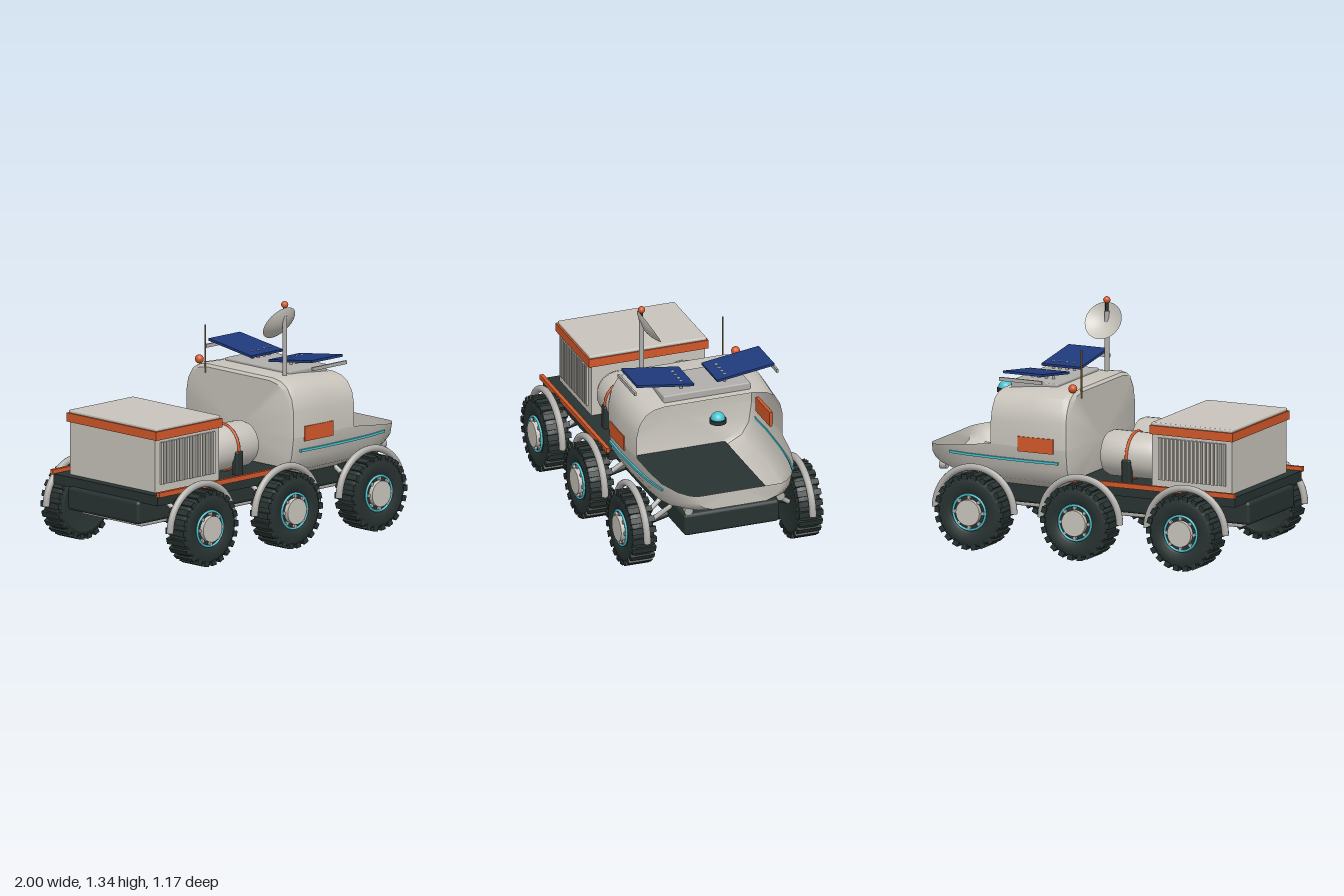
import * as THREE from 'three';
import { toCreasedNormals } from 'three/addons/utils/BufferGeometryUtils.js';
import { RoundedBoxGeometry } from 'three/addons/geometries/RoundedBoxGeometry.js';

const mat = (name, color, side = THREE.FrontSide) => {
  const m = new THREE.MeshStandardMaterial({ color, side });
  m.name = name;
  return m;
};

// Skin a list of equally long cross-sections
function loft(sections) {
  const n = sections[0].length, index = [];
  for (let i = 0; i < sections.length - 1; i++) {
    for (let j = 0; j < n - 1; j++) {
      const a = i * n + j, b = a + n;
      index.push(a, a + 1, b, b, a + 1, b + 1);
    }
  }
  const g = new THREE.BufferGeometry().setFromPoints(sections.flat());
  g.setIndex(index);
  return toCreasedNormals(g, 0.6);
}

export function createModel() {
  const root = new THREE.Group();
  const shell = mat('shellGrey', 0xc8c4bc, THREE.DoubleSide);
  const metal = mat('metalGrey', 0xb0aeaa);
  const dark = mat('darkRubber', 0x283331);
  const orange = mat('orange', 0xd2582a);
  const cyan = mat('cyan', 0x48c2d0);
  const blue = mat('solarBlue', 0x1f3a7c);
  const gold = mat('antennaGold', 0x9a7a3c);

  const add = (name, geo, material, x = 0, y = 0, z = 0, parent = root) => {
    const m = new THREE.Mesh(geo, material);
    m.name = name;
    m.position.set(x, y, z);
    parent.add(m);
    return m;
  };
  // Box given by its limits
  const box = (name, material, x0, x1, y0, y1, z0, z1, r = 0) => {
    const s = [x1 - x0, y1 - y0, z1 - z0];
    const g = r ? new RoundedBoxGeometry(...s, 2, r) : new THREE.BoxGeometry(...s);
    return add(name, g, material, (x0 + x1) / 2, (y0 + y1) / 2, (z0 + z1) / 2);
  };
  // Round bar between two points
  const bar = (name, material, a, b, r) => {
    const p = new THREE.Vector3(...a), q = new THREE.Vector3(...b), d = q.clone().sub(p);
    const m = add(name, new THREE.CylinderGeometry(r, r, d.length(), 12), material);
    m.position.copy(p).add(q).multiplyScalar(0.5);
    m.quaternion.setFromUnitVectors(new THREE.Vector3(0, 1, 0), d.normalize());
    return m;
  };

  // Chassis, belly plate and deck
  box('chassis', dark, -1, 0.89, 0.235, 0.368, -0.285, 0.285, 0.02);
  box('bellyPlate', metal, -0.93, 0.82, 0.208, 0.236, -0.24, 0.24, 0.01);
  box('deck', dark, -0.975, 0.05, 0.36, 0.417, -0.415, 0.415);

  // Cabin shell: x, half width, bottom, rim height, roof height
  const stations = [
    [0.06, 0, 0.59, 0.59, 0.59], [0.06, 0.405, 0.37, 0.59, 0.895], [0.075, 0.428, 0.35, 0.59, 0.91],
    [0.11, 0.441, 0.34, 0.59, 0.915], [0.3, 0.445, 0.34, 0.59, 0.905], [0.54, 0.435, 0.34, 0.59, 0.88],
    [0.7, 0.42, 0.35, 0.57], [0.82, 0.395, 0.372, 0.55], [0.93, 0.34, 0.405, 0.535],
    [0.98, 0.29, 0.425, 0.528], [1, 0.25, 0.432, 0.525], [1, 0, 0.525, 0.525],
  ];
  const lower = [[1, 1], [0.96, 0.5], [0.86, 0.2], [0.64, 0]];
  const upper = [[1, 0], [1, 0.45], [0.965, 0.68], [0.88, 0.87], [0.77, 0.96], [0.62, 1]];
  const section = (half, x, w, y0, y1) =>
    [...half, ...half.map(([u, v]) => [-u, v]).reverse()]
      .map(([u, v]) => new THREE.Vector3(x, y0 + (y1 - y0) * v, w * u));
  add('lowerHull', loft(stations.map(([x, w, b, rim]) => section(lower, x, w, b, rim))), shell);
  add('cabinRoofAndWalls',
    loft(stations.slice(0, 6).map(([x, w, , rim, top]) => section(upper, x, w, rim, top))), shell);

  // Hull half width near the stripe height
  const hullWidth = (x) => {
    let i = 1;
    while (i < stations.length - 2 && stations[i + 1][0] < x) i++;
    const [a, b] = [stations[i], stations[i + 1]];
    return THREE.MathUtils.lerp(a[1], b[1], (x - a[0]) / (b[0] - a[0]));
  };

  for (const s of [1, -1]) {
    // Deck rail, door panel and stripe
    box('deckRail', orange, -0.98, 0.06, 0.412, 0.44, s * 0.424 - 0.011, s * 0.424 + 0.011);
    box('sidePanel', orange, 0.145, 0.365, 0.565, 0.65, s * 0.437 - 0.012, s * 0.437 + 0.012);
    const stripe = new THREE.BoxGeometry(0.7, 0.014, 0.016, 14, 1, 1);
    const p = stripe.attributes.position;
    for (let i = 0; i < p.count; i++) {
      p.setZ(i, p.getZ(i) + s * (hullWidth(p.getX(i) + 0.47) - 0.006));
    }
    stripe.computeVertexNormals();
    add('sideStripe', stripe, cyan, 0.47, 0.512, 0);

    // Headlight
    const lamp = add('headlight', new THREE.CylinderGeometry(0.026, 0.022, 0.04, 16), metal, 0.91, 0.408, s * 0.275);
    lamp.rotation.z = -Math.PI / 2;

    // Solar panel on posts
    const panel = add('solarPanel', new THREE.BoxGeometry(0.245, 0.014, 0.345), blue, 0.353, 0.977, s * 0.24);
    panel.rotation.x = -s * 0.135;
    for (const x of [0.3, 0.345, 0.39, 0.43]) {
      bar('panelPost', metal, [x, 0.9, s * 0.13], [x, 0.971, s * 0.13], 0.009);
    }
    box('panelEdgeBar', metal, 0.225, 0.49, 0.952, 0.972, s * 0.425 - 0.006, s * 0.425 + 0.006);

    // Storage tank with strap and bracket
    const profile = [[0, -0.175], [0.09, -0.175], [0.118, -0.163], [0.13, -0.135],
      [0.13, 0.135], [0.118, 0.163], [0.09, 0.175], [0, 0.175]].map((q) => new THREE.Vector2(...q));
    const tank = add('tank', toCreasedNormals(new THREE.LatheGeometry(profile, 32), 0.7), shell, -0.245, 0.556, s * 0.193);
    tank.rotation.z = -Math.PI / 2;
    const strap = add('tankStrap', new THREE.TorusGeometry(0.131, 0.009, 8, 36), orange, -0.25, 0.556, s * 0.193);
    strap.rotation.y = Math.PI / 2;
    box('tankBracket', dark, -0.278, -0.225, 0.41, 0.55, s * 0.315 - 0.022, s * 0.315 + 0.022, 0.01);
    box('tankCradle', dark, -0.27, -0.23, 0.41, 0.5, s * 0.06 - 0.02, s * 0.06 + 0.02);
  }

  // Cargo box with ribbed sides
  box('cargoBox', shell, -0.92, -0.42, 0.417, 0.73, -0.34, 0.34);
  box('cargoBand', orange, -0.93, -0.412, 0.718, 0.768, -0.358, 0.358);
  box('cargoLid', shell, -0.922, -0.418, 0.765, 0.785, -0.35, 0.35, 0.008);
  for (let i = 0; i < 17; i++) {
    const x = -0.875 + i * 0.0253;
    for (const s of [1, -1]) box('cargoRib', shell, x - 0.007, x + 0.007, 0.46, 0.7, s * 0.345 - 0.008, s * 0.345 + 0.008);
  }

  // Roof plate
  box('roofPlate', metal, 0.21, 0.5, 0.88, 0.925, -0.26, 0.26, 0.008);

  // Dish mast
  bar('mast', metal, [0.165, 0.88, 0.265], [0.165, 1.25, 0.265], 0.014);
  bar('mastTip', dark, [0.165, 1.245, 0.265], [0.165, 1.305, 0.265], 0.009);
  add('mastLight', new THREE.SphereGeometry(0.02, 16, 12), orange, 0.165, 1.315, 0.265);
  const bowl = [];
  for (let i = 0; i <= 8; i++) bowl.push(new THREE.Vector2(0.112 * i / 8, 0.035 * (i / 8) ** 2 - 0.035));
  const dish = add('dish', new THREE.LatheGeometry(bowl, 32), shell, 0.165, 1.205, 0.22);
  dish.rotation.x = -1.02;

  // Whip antenna and signal lamp
  bar('antenna', gold, [0.06, 0.86, -0.262], [0.06, 1.135, -0.262], 0.005);
  add('signalLamp', new THREE.SphereGeometry(0.025, 16, 12), orange, 0.08, 0.925, -0.33);

  // Beacon
  add('beaconBase', new THREE.CylinderGeometry(0.048, 0.048, 0.024, 24), dark, 0.665, 0.807, 0);
  add('beaconDome', new THREE.SphereGeometry(0.041, 24, 10, 0, Math.PI * 2, 0, Math.PI / 2), cyan, 0.665, 0.818, 0);

  // Wheels, fenders and suspension
  const tyre = new THREE.LatheGeometry([[0, -0.06], [0.12, -0.06], [0.17, -0.072], [0.196, -0.062], [0.205, -0.04],
    [0.205, 0.04], [0.196, 0.062], [0.17, 0.072], [0.12, 0.066], [0.11, 0.06], [0, 0.06]]
    .map((q) => new THREE.Vector2(...q)), 40);
  tyre.rotateX(Math.PI / 2);
  const tyreGeo = toCreasedNormals(tyre, 0.5);
  const lug = new THREE.BoxGeometry(0.034, 0.03, 0.142);
  const hub = new THREE.CylinderGeometry(0.074, 0.074, 0.03, 28).rotateX(Math.PI / 2);
  const bolt = new THREE.CylinderGeometry(0.011, 0.011, 0.02, 8).rotateX(Math.PI / 2);
  for (const x of [-0.71, -0.05, 0.61]) {
    for (const s of [1, -1]) {
      const wheel = new THREE.Group();
      wheel.name = 'wheel';
      wheel.position.set(x, 0.215, s * 0.498);
      if (s < 0) wheel.rotation.y = Math.PI;
      root.add(wheel);
      add('tyre', tyreGeo, dark, 0, 0, 0, wheel);
      for (let i = 0; i < 22; i++) {
        const a = (i / 22) * Math.PI * 2;
        const l = add('treadLug', lug, dark, 0.2 * Math.cos(a), 0.2 * Math.sin(a), 0, wheel);
        l.rotation.z = a - Math.PI / 2;
      }
      add('hubRing', new THREE.TorusGeometry(0.1, 0.007, 8, 36), cyan, 0, 0, 0.066, wheel);
      add('hubCap', hub, shell, 0, 0, 0.072, wheel);
      for (let i = 0; i < 8; i++) {
        const a = (i / 8) * Math.PI * 2;
        add('hubBolt', bolt, metal, 0.086 * Math.cos(a), 0.086 * Math.sin(a), 0.064, wheel);
      }
      add('fender', new THREE.TorusGeometry(0.245, 0.02, 10, 36, Math.PI), metal, x, 0.215, s * 0.495);
      for (const d of [-0.07, 0.07]) {
        bar('suspensionArm', metal, [x + d, 0.345, s * 0.27], [x + d / 2, 0.225, s * 0.43], 0.014);
      }
      bar('axle', dark, [x, 0.26, s * 0.27], [x, 0.215, s * 0.45], 0.02);
    }
  }
  return root;
}
